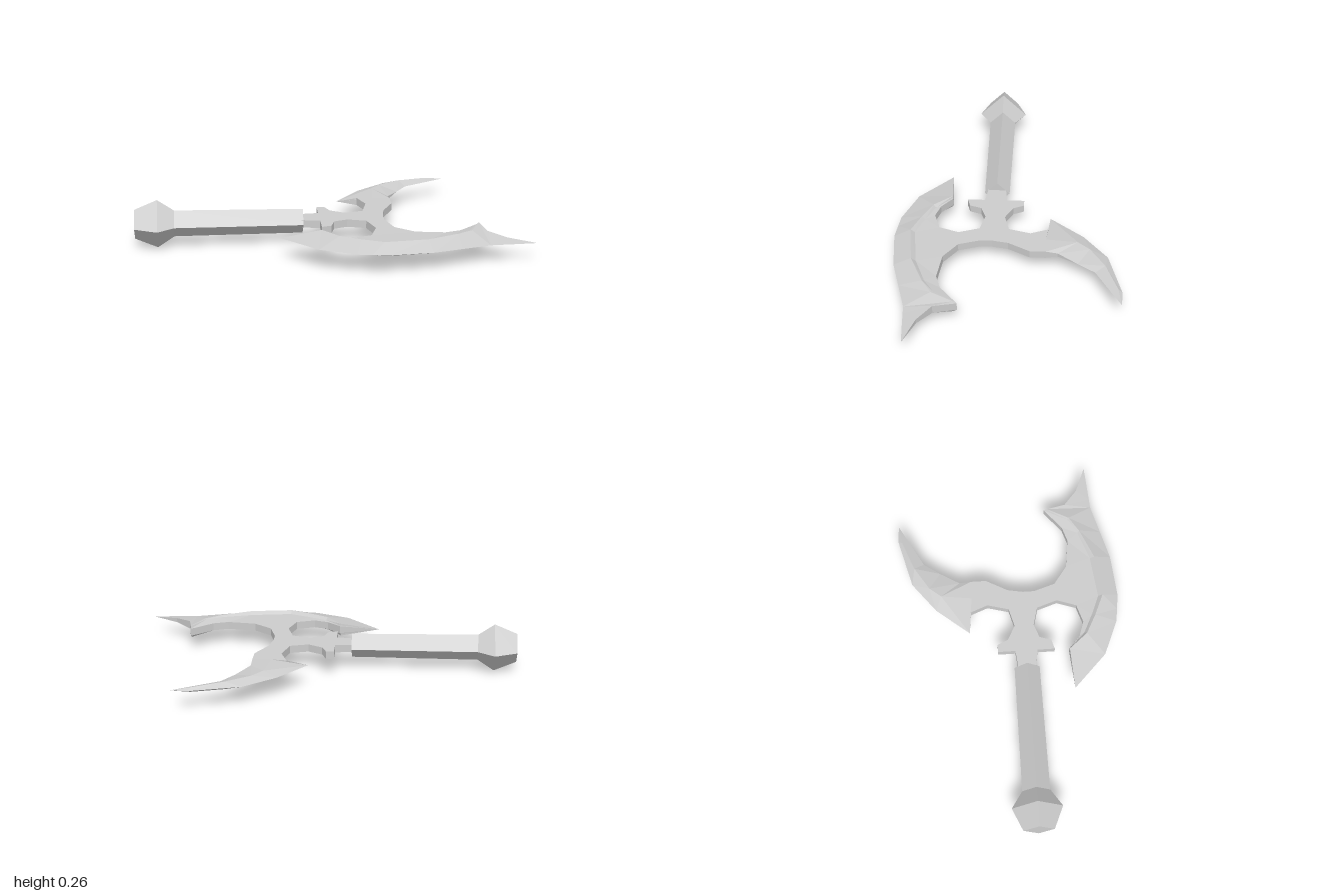
import * as THREE from 'three';

const steel = new THREE.MeshStandardMaterial({ color: 0xcccccc, flatShading: true });
steel.name = 'steel';

// Solid symmetric about y = 0, lofted from rows of [x, z, halfThickness].
// Rows advance along the blade; points in a row run from its right to its left.
function blade(name, rows) {
  const pos = [];
  const up = ([x, z, h]) => [x, h, z];
  const down = ([x, z, h]) => [x, -h, z];
  const tri = (a, b, c) => {
    const p = [a, b, c].map(v => new THREE.Vector3(...v));
    const n = p[1].clone().sub(p[0]).cross(p[2].clone().sub(p[0]));
    if (n.length() > 1e-9) pos.push(...a, ...b, ...c);
  };
  const quad = (a, b, c, d) => { tri(a, b, c); tri(a, c, d); };
  for (let i = 0; i < rows.length - 1; i++) {
    const r = rows[i], s = rows[i + 1], last = r.length - 1;
    for (let j = 0; j < last; j++) {
      quad(up(r[j]), up(s[j]), up(s[j + 1]), up(r[j + 1]));
      quad(down(r[j + 1]), down(s[j + 1]), down(s[j]), down(r[j]));
    }
    quad(up(r[last]), up(s[last]), down(s[last]), down(r[last]));
    quad(down(r[0]), down(s[0]), up(s[0]), up(r[0]));
  }
  const g = new THREE.BufferGeometry();
  g.setAttribute('position', new THREE.Float32BufferAttribute(pos, 3));
  g.computeVertexNormals();
  const mesh = new THREE.Mesh(g, steel);
  mesh.name = name;
  return mesh;
}

// Four-sided bar along x, standing on its edge
function bar(name, x0, x1, r0, r1) {
  const g = new THREE.CylinderGeometry(r1, r0, x1 - x0, 4);
  g.rotateZ(-Math.PI / 2);
  g.translate((x0 + x1) / 2, 0, 0.065);
  const mesh = new THREE.Mesh(g, steel);
  mesh.name = name;
  return mesh;
}

export function createModel() {
  const model = new THREE.Group();
  model.name = 'battleAxe';
  const axe = new THREE.Group();
  axe.name = 'axe';
  axe.position.y = 0.117;
  axe.rotation.z = -0.016;
  model.add(axe);

  // Handle and pommel
  axe.add(bar('handle', -0.8, -0.145, 0.07, 0.065));
  axe.add(bar('pommelEnd', -1, -0.885, 0.078, 0.128));
  axe.add(bar('pommelNeck', -0.885, -0.8, 0.128, 0.07));

  // Flat head with collar, guard prongs and the necks of both blades
  const outline = [
    [-0.16, 0.02], [-0.06, 0.01], [-0.06, -0.08], [-0.02, -0.08], [0.005, -0.025],
    [0.08, 0.015], [0.175, -0.01], [0.205, -0.12], [0.17, -0.21], [0.25, -0.2],
    [0.345, -0.2], [0.345, -0.12], [0.285, -0.01], [0.27, 0.07], [0.27, 0.13],
    [0.305, 0.24], [0.4, 0.31], [0.175, 0.345], [0.21, 0.245], [0.175, 0.14],
    [0.08, 0.115], [0.01, 0.14], [-0.01, 0.2], [-0.06, 0.215], [-0.06, 0.125], [-0.16, 0.11],
  ];
  const shape = new THREE.Shape(outline.map(([x, z]) => new THREE.Vector2(x, -z)));
  const plate = new THREE.ExtrudeGeometry(shape, { depth: 0.04, bevelEnabled: false });
  plate.rotateX(-Math.PI / 2);
  plate.translate(0, -0.02, 0);
  const head = new THREE.Mesh(plate, steel);
  head.name = 'headPlate';
  axe.add(head);

  // Main blade: cutting edge, ridge, foot of the step, inner edge
  const same = (x, z, h) => [[x, z, h], [x, z, h], [x, z, h]];
  axe.add(blade('mainBlade', [
    [[-0.275, 0.305, 0], ...same(-0.275, 0.305, 0)],
    [[-0.1, 0.475, 0], [-0.07, 0.292, 0.034], [-0.066, 0.291, 0.024], [-0.064, 0.29, 0.02]],
    [[0.08, 0.55, 0], [0.01, 0.388, 0.036], [0.018, 0.375, 0.022], [0.005, 0.35, 0.02]],
    [[0.15, 0.56, 0], [0.11, 0.44, 0.036], [0.115, 0.422, 0.022], [0.08, 0.375, 0.02]],
    [[0.23, 0.57, 0], [0.22, 0.487, 0.037], [0.22, 0.465, 0.022], [0.175, 0.345, 0.02]],
    [[0.45, 0.55, 0], [0.44, 0.463, 0.037], [0.44, 0.44, 0.022], [0.4, 0.31, 0.02]],
    [[0.6, 0.51, 0], [0.6, 0.395, 0.036], [0.59, 0.385, 0.028], [0.55, 0.33, 0.02]],
    [[0.75, 0.47, 0], [0.68, 0.345, 0.034], [0.672, 0.335, 0.032], [0.63, 0.305, 0.02]],
    [[0.75, 0.47, 0], [0.74, 0.235, 0.032], [0.738, 0.23, 0.032], [0.74, 0.215, 0.02]],
    [[0.8, 0.467, 0], ...same(0.765, 0.33, 0.022)],
    [[0.87, 0.463, 0], ...same(0.85, 0.4, 0.012)],
    [[0.99, 0.455, 0], ...same(0.99, 0.455, 0)],
  ]));

  // Rear hook: inner edge, ridge, outer edge
  axe.add(blade('rearHook', [
    [[0.345, -0.2, 0.02], [0.25, -0.2, 0.02], [0.17, -0.21, 0.02]],
    [[0.345, -0.26, 0.01], [0.27, -0.36, 0.024], [0.06, -0.22, 0]],
    [[0.41, -0.36, 0], [0.32, -0.42, 0.022], [0.2, -0.39, 0]],
    [[0.47, -0.445, 0], [0.44, -0.495, 0.02], [0.355, -0.51, 0]],
    [[0.6, -0.515, 0], [0.6, -0.555, 0.012], [0.61, -0.575, 0]],
    [[0.7, -0.57, 0], [0.7, -0.57, 0], [0.7, -0.57, 0]],
  ]));

  return model;
}
